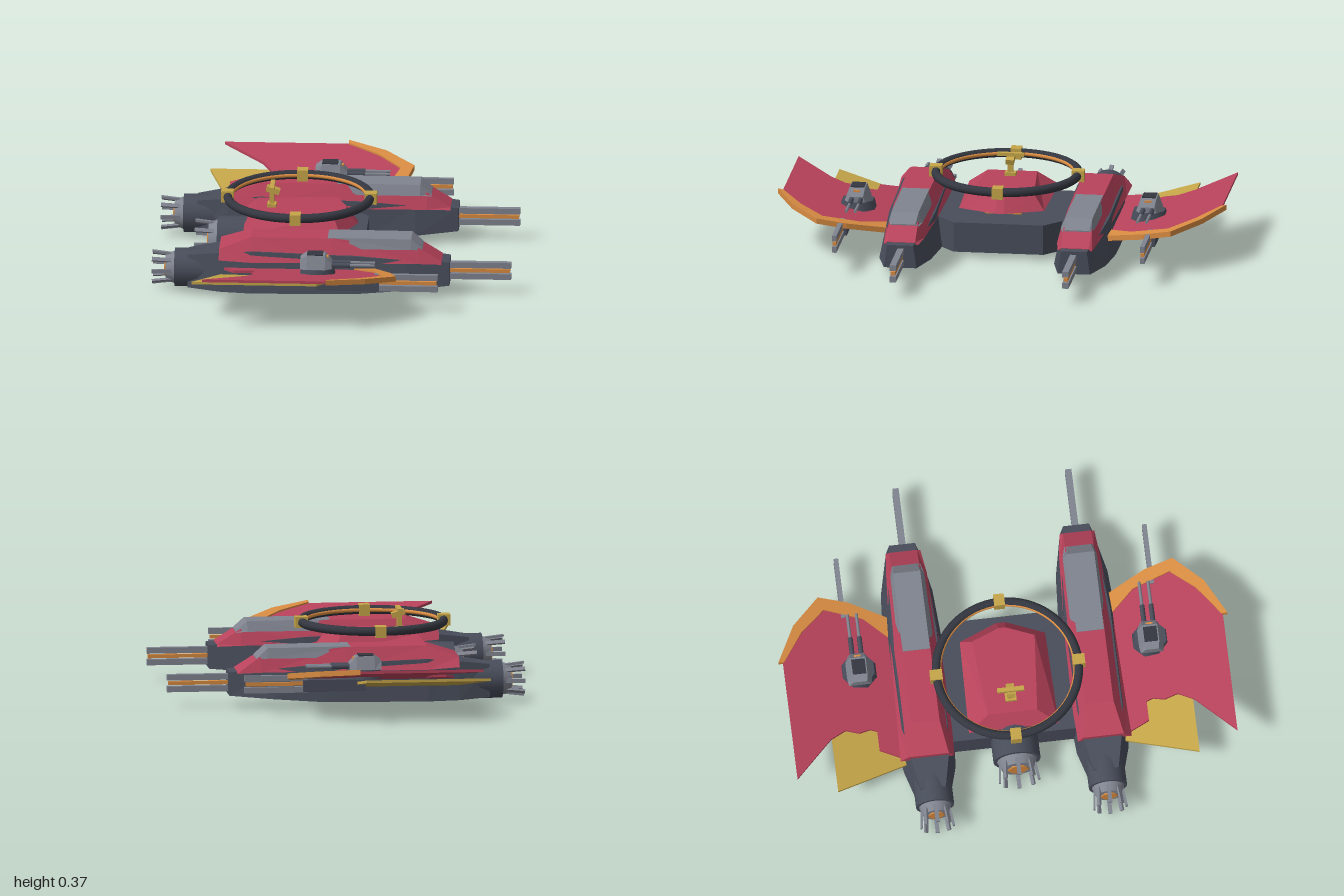
import * as THREE from 'three';

const mat = (name, color) => Object.assign(new THREE.MeshStandardMaterial({ color }), { name });

// Faceted solid through matching rings of [x,y,z], each counter-clockwise seen from the far end
function loft(rings) {
  const n = rings[0].length, last = rings.length - 1, out = [];
  const tri = (...p) => p.forEach(v => out.push(...v));
  for (let i = 0; i < last; i++) {
    for (let j = 0; j < n; j++) {
      const k = (j + 1) % n, a = rings[i][j], b = rings[i][k], c = rings[i + 1][k], d = rings[i + 1][j];
      tri(a, b, c);
      tri(a, c, d);
    }
  }
  for (let j = 1; j < n - 1; j++) {
    tri(rings[0][0], rings[0][j + 1], rings[0][j]);
    tri(rings[last][0], rings[last][j], rings[last][j + 1]);
  }
  const g = new THREE.BufferGeometry();
  g.setAttribute('position', new THREE.Float32BufferAttribute(out, 3));
  g.computeVertexNormals();
  return g;
}

// Trapezoid hull along x: rows of [x, yBottom, yTop, zInBottom, zOutBottom, zInTop, zOutTop]
const hull = rows => loft(rows.map(([x, y0, y1, a, b, c, d]) =>
  [[x, y0, b], [x, y0, a], [x, y1, c], [x, y1, d]]));

// Plate with outline [x,z] whose height follows a rule of z
function plate(outline, depth, height) {
  const shape = new THREE.Shape(outline.map(([x, z]) => new THREE.Vector2(x, -z)));
  let g = new THREE.ExtrudeGeometry(shape, { depth, bevelEnabled: false });
  g.rotateX(-Math.PI / 2);
  const p = g.attributes.position;
  for (let i = 0; i < p.count; i++) p.setY(i, p.getY(i) + height(p.getZ(i)));
  if (g.index) g = g.toNonIndexed();
  g.computeVertexNormals();
  return g;
}

// Box given by its ranges
const box = (x0, x1, y0, y1, z0, z1) => new THREE.BoxGeometry(x1 - x0, y1 - y0, z1 - z0)
  .translate((x0 + x1) / 2, (y0 + y1) / 2, (z0 + z1) / 2);

// Cylinder along x
const barrel = (x0, x1, rRear, rFront, y, z, sides = 20) =>
  new THREE.CylinderGeometry(rRear, rFront, x1 - x0, sides).rotateZ(Math.PI / 2).translate((x0 + x1) / 2, y, z);

// Copy of a group reflected in z, with the winding put right
function mirrored(group) {
  const copy = new THREE.Group();
  copy.name = group.name.replace('left', 'right');
  for (const m of group.children) {
    const g = m.geometry.index ? m.geometry.toNonIndexed() : m.geometry.clone();
    g.clearGroups();
    g.scale(1, 1, -1);
    for (const a of Object.values(g.attributes)) {
      for (let i = 0; i < a.count; i += 3) {
        for (let c = 0; c < a.itemSize; c++) {
          const t = a.getComponent(i + 1, c);
          a.setComponent(i + 1, c, a.getComponent(i + 2, c));
          a.setComponent(i + 2, c, t);
        }
      }
    }
    const mesh = new THREE.Mesh(g, m.material);
    mesh.name = m.name;
    copy.add(mesh);
  }
  return copy;
}

export function createModel() {
  const red = mat('red armour', 0xb8435b), dark = mat('dark hull', 0x484d5a), grey = mat('grey metal', 0x80848f);
  const gold = mat('gold', 0xc6a649), orange = mat('orange', 0xd98c42), black = mat('black trim', 0x343740);
  const model = new THREE.Group();
  model.name = 'gunship';
  const add = (parent, name, geometry, material) => {
    const m = new THREE.Mesh(geometry, material);
    m.name = name;
    parent.add(m);
  };

  // Engine with a ring of claws, rear of the casing at x
  const engine = (parent, x, front, r, y, z) => {
    add(parent, 'engineCasing', barrel(x, front, r, r, y, z), dark);
    add(parent, 'engineNozzle', barrel(x - 0.04, x, r * 0.68, r * 0.85, y, z), grey);
    add(parent, 'engineGlow', barrel(x - 0.046, x - 0.038, r * 0.45, r * 0.45, y, z, 6), orange);
    for (let i = 0; i < 8; i++) {
      const claw = box(-0.05, 0.05, -0.005, 0.005, -0.009, 0.009).rotateZ(-0.12);
      claw.translate(0, r * 0.78, 0).rotateX(i * Math.PI / 4).translate(x - 0.05, y, z);
      add(parent, 'engineClaw', claw, grey);
    }
  };

  // Twin rail gun with an orange core
  const railGun = (parent, x0, x1, y, z, w) => {
    for (const s of [-1, 1]) add(parent, 'gunRail', box(x0, x1, y + s * 0.026 - 0.013, y + s * 0.026 + 0.013, z - w, z + w), grey);
    add(parent, 'gunCore', box(x0, x1 - 0.005, y - 0.008, y + 0.008, z - w * 0.7, z + w * 0.7), orange);
  };

  // Central hull
  add(model, 'centralHull', plate([[-0.43, -0.3], [-0.43, 0.3], [0.02, 0.3], [0.13, 0.2], [0.13, -0.2], [0.02, -0.3]],
    0.135, () => 0.03), dark);
  engine(model, -0.53, -0.36, 0.105, 0.11, 0);
  add(model, 'spine', barrel(-0.36, -0.05, 0.1, 0.1, 0.11, 0), dark);
  add(model, 'spineCap', barrel(-0.05, -0.03, 0.1, 0.1, 0.11, 0), orange);
  const deck = (y, pts) => pts.map(([x, z]) => [x, y, z]);
  add(model, 'centralArmour', loft([
    deck(0.2, [[-0.41, 0.2], [0.02, 0.19], [0.09, 0.02], [0.09, -0.02], [0.02, -0.19], [-0.41, -0.2]]),
    deck(0.27, [[-0.36, 0.11], [-0.01, 0.14], [0.04, 0.015], [0.04, -0.015], [-0.01, -0.14], [-0.36, -0.11]]),
  ]), red);

  // Mast on the armour
  add(model, 'mastPost', box(-0.31, -0.27, 0.265, 0.285, -0.025, 0.025), gold);
  add(model, 'mastStem', box(-0.3, -0.28, 0.28, 0.36, -0.012, 0.012), gold);
  add(model, 'mastHead', box(-0.03, 0.03, -0.012, 0.012, -0.018, 0.018).rotateZ(-0.3).translate(-0.285, 0.345, 0), gold);
  add(model, 'mastBar', box(-0.298, -0.278, 0.358, 0.373, -0.06, 0.06), gold);

  // Floating ring
  const torus = (R, r) => new THREE.TorusGeometry(R, r, 10, 64).rotateX(Math.PI / 2).translate(-0.17, 0.315, 0);
  add(model, 'ring', torus(0.315, 0.02), black);
  add(model, 'ringInnerBand', torus(0.301, 0.009), orange);
  for (let i = 0; i < 4; i++) {
    add(model, 'ringClamp', box(0.29, 0.345, -0.025, 0.025, -0.024, 0.024).rotateY(i * Math.PI / 2).translate(-0.17, 0.315, 0), gold);
  }

  // Side pod
  const pod = new THREE.Group();
  pod.name = 'leftPod';
  add(pod, 'podHull', hull([
    [-0.64, 0.035, 0.18, 0.31, 0.46, 0.33, 0.44],
    [-0.5, 0.03, 0.2, 0.27, 0.5, 0.3, 0.47],
    [-0.36, 0.03, 0.215, 0.26, 0.52, 0.29, 0.49],
    [0.1, 0.035, 0.2, 0.26, 0.52, 0.285, 0.49],
    [0.33, 0.05, 0.18, 0.275, 0.505, 0.3, 0.47],
    [0.52, 0.062, 0.165, 0.315, 0.46, 0.33, 0.445],
  ]), dark);
  add(pod, 'podArmour', hull([
    [-0.5, 0.18, 0.222, 0.275, 0.515, 0.3, 0.48],
    [-0.36, 0.17, 0.27, 0.27, 0.51, 0.325, 0.45],
    [0, 0.17, 0.27, 0.275, 0.5, 0.325, 0.45],
    [0.38, 0.165, 0.235, 0.295, 0.475, 0.325, 0.45],
    [0.485, 0.16, 0.17, 0.31, 0.465, 0.325, 0.45],
  ]), red);
  add(pod, 'podTopBlock', hull([
    [-0.02, 0.225, 0.272, 0.305, 0.465, 0.327, 0.448],
    [0.35, 0.225, 0.27, 0.308, 0.46, 0.327, 0.448],
    [0.4, 0.22, 0.228, 0.32, 0.45, 0.335, 0.44],
  ]), grey);
  engine(pod, -0.7, -0.56, 0.085, 0.105, 0.385);
  railGun(pod, 0.5, 0.79, 0.112, 0.385, 0.014);

  // Wing, sloping up towards the tip
  const wingY = z => 0.13 + 0.21 * (z - 0.5);
  add(pod, 'wing', plate([[-0.48, 0.48], [-0.43, 0.6], [-0.34, 0.6], [-0.33, 0.63], [-0.345, 0.68], [-0.33, 0.74],
    [-0.37, 0.81], [-0.55, 0.98], [0, 0.98], [0.26, 0.79], [0.15, 0.48]], 0.012, wingY), red);
  add(pod, 'wingLowerPlate', plate([[-0.49, 0.48], [-0.605, 0.805], [-0.05, 0.805], [0.05, 0.48]], 0.012,
    z => 0.098 + 0.21 * (z - 0.5)), gold);
  add(pod, 'wingLeadingEdge', plate([[0, 0.975], [0, 1], [0.17, 0.915], [0.3, 0.79], [0.27, 0.66], [0.19, 0.49],
    [0.09, 0.49], [0.19, 0.6], [0.24, 0.77], [0.14, 0.88]], 0.024, z => wingY(z) - 0.005), orange);

  // Gun under the wing
  add(pod, 'underWingGunBody', box(-0.06, 0.22, 0.112, 0.165, 0.665, 0.71), dark);
  railGun(pod, 0.2, 0.48, 0.147, 0.687, 0.01);

  // Turret on the wing
  add(pod, 'turretBase', new THREE.CylinderGeometry(0.075, 0.085, 0.04, 8).rotateY(Math.PI / 8).translate(-0.055, 0.185, 0.65), dark);
  add(pod, 'turretBody', hull([
    [-0.13, 0.205, 0.245, 0.6, 0.7, 0.62, 0.68],
    [-0.1, 0.205, 0.265, 0.595, 0.705, 0.615, 0.685],
    [-0.02, 0.205, 0.262, 0.595, 0.705, 0.615, 0.685],
    [0.01, 0.205, 0.23, 0.61, 0.69, 0.62, 0.68],
  ]), grey);
  add(pod, 'turretHatch', box(-0.1, -0.03, 0.258, 0.268, 0.62, 0.68), black);
  add(pod, 'turretLens', box(-0.022, -0.006, 0.235, 0.256, 0.635, 0.665), orange);
  for (const z of [0.63, 0.67]) {
    add(pod, 'turretBarrel', barrel(0, 0.2, 0.007, 0.007, 0.218, z, 8), grey);
    add(pod, 'turretSleeve', barrel(0, 0.09, 0.011, 0.011, 0.218, z, 8), dark);
  }

  model.add(pod, mirrored(pod));
  return model;
}
